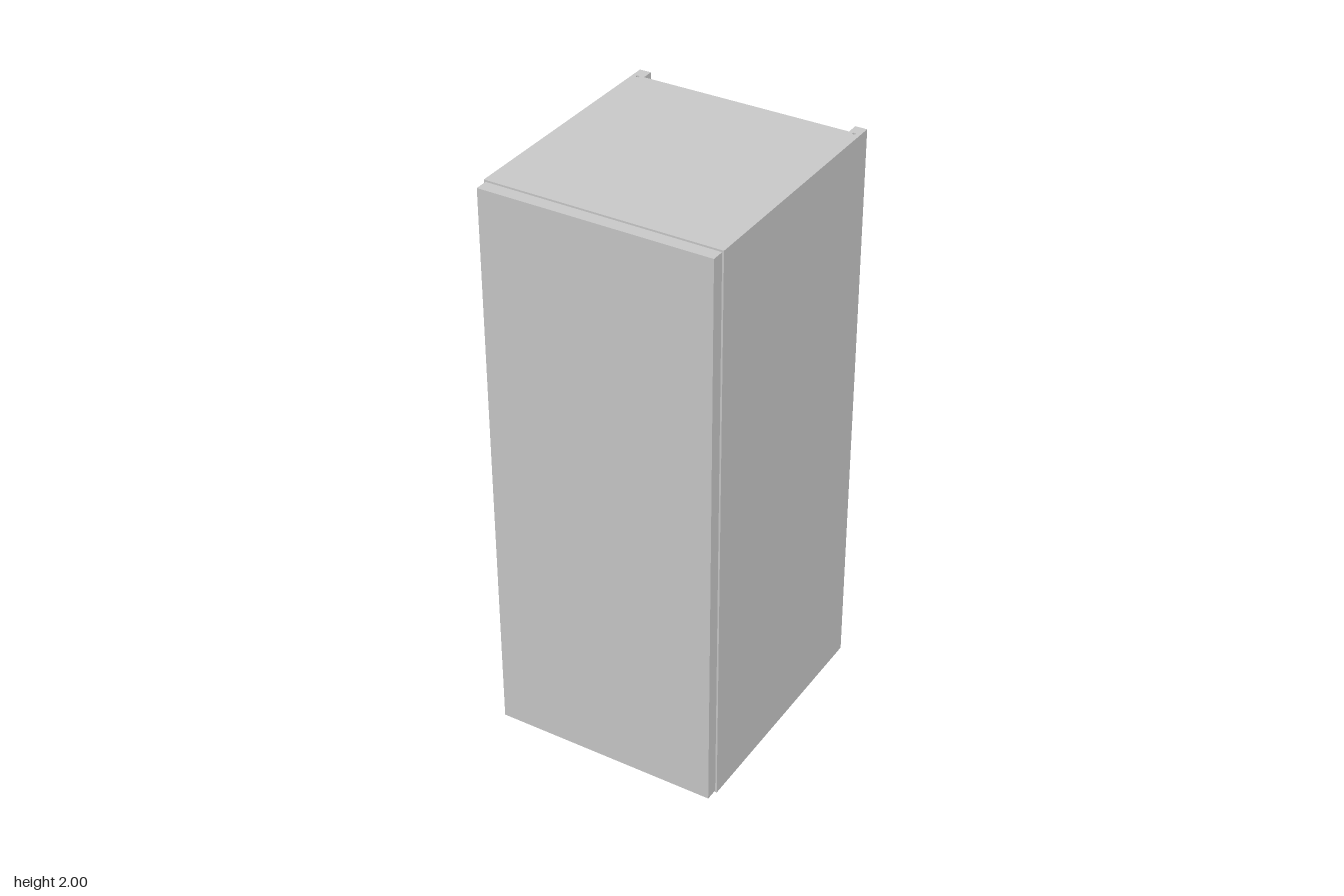
import * as THREE from 'three';

const H = 2, HALF_W = 0.4, BOARD = 0.04;
const BACK = -0.449, FRONT = 0.405, DOOR_FRONT = 0.449;
const GROOVE_BACK = -0.408, GROOVE_FRONT = -0.398, GROOVE_X = 0.385;
const INNER = HALF_W - BOARD;

export function createModel() {
  const cabinet = new THREE.Group();
  cabinet.name = 'cabinet';
  const material = new THREE.MeshStandardMaterial({ color: 0xcccccc });

  function add(name, geometry) {
    const mesh = new THREE.Mesh(geometry, material);
    mesh.name = name;
    cabinet.add(mesh);
  }

  // Board centred on x, given by its half width and y and z limits
  function board(name, halfWidth, y0, y1, z0, z1) {
    const geometry = new THREE.BoxGeometry(2 * halfWidth, y1 - y0, z1 - z0);
    geometry.translate(0, (y0 + y1) / 2, (z0 + z1) / 2);
    add(name, geometry);
  }

  // Side boards: plan outline with a full-height groove for the back panel
  for (const [name, side] of [['leftSide', 1], ['rightSide', -1]]) {
    const outline = [
      [HALF_W, BACK], [HALF_W, FRONT], [INNER, FRONT],
      [INNER, GROOVE_FRONT], [GROOVE_X, GROOVE_FRONT],
      [GROOVE_X, GROOVE_BACK], [INNER, GROOVE_BACK], [INNER, BACK],
    ].map(([x, z]) => new THREE.Vector2(side * x, -z));
    const geometry = new THREE.ExtrudeGeometry(new THREE.Shape(outline), { depth: H, bevelEnabled: false });
    geometry.rotateX(-Math.PI / 2);
    add(name, geometry);
  }

  // The bottom runs to the rear edge, the top stops at the back panel
  board('bottom', INNER, 0, BOARD, BACK, FRONT);
  board('top', INNER, H - BOARD, H, GROOVE_FRONT, FRONT);

  // Thin back panel, slightly narrower than the grooves
  board('backPanel', 0.375, BOARD, H, GROOVE_BACK, GROOVE_FRONT);

  // Door, a little smaller than the carcass all round
  board('door', 0.394, 0.006, H - 0.006, FRONT, DOOR_FRONT);

  return cabinet;
}
